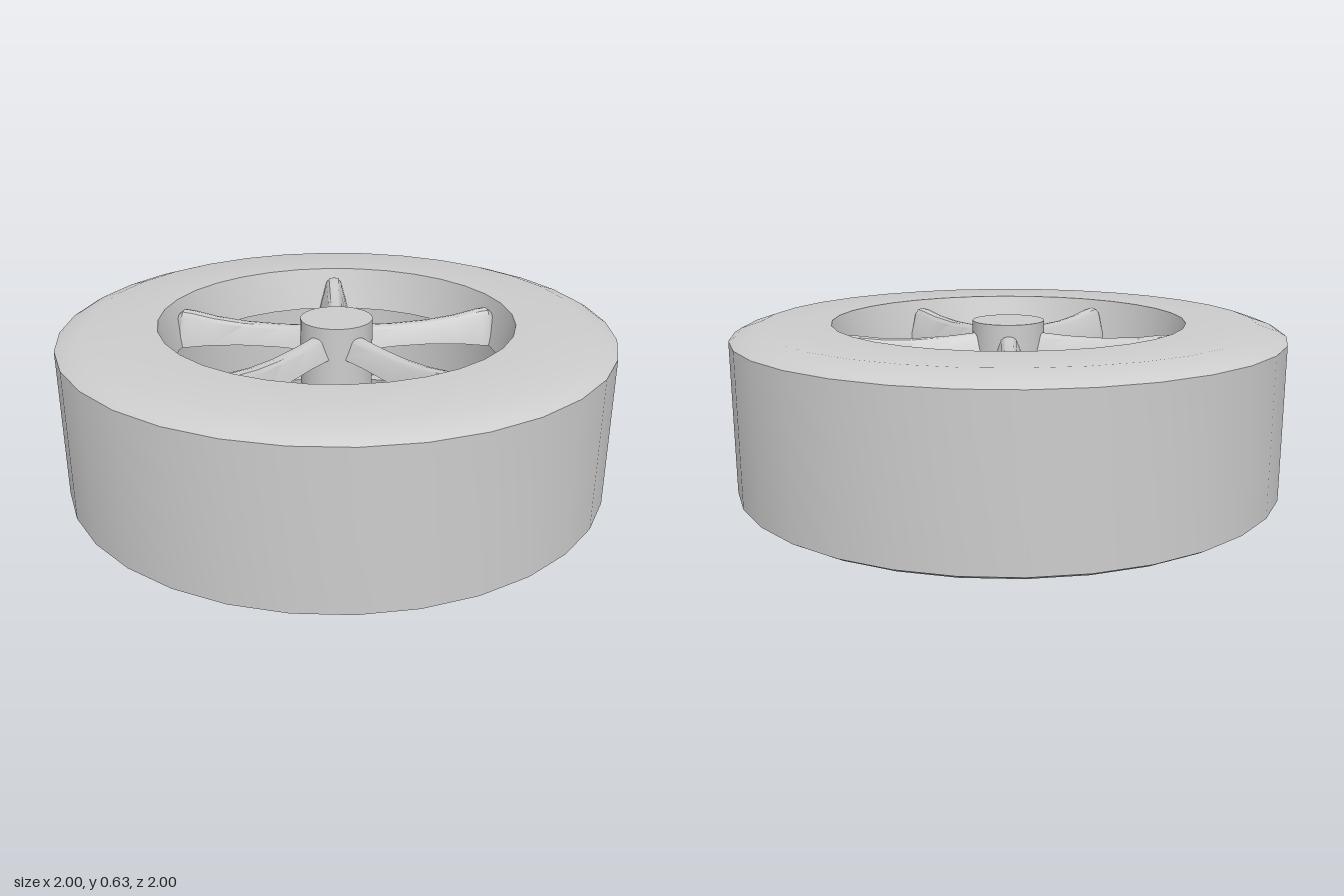
import * as THREE from 'three';
import { toCreasedNormals } from 'three/addons/utils/BufferGeometryUtils.js';

const SIDES = 32;
const CREASE = 0.5;

// Spoke along +x: a tapered section swept through stations [x, bottom, top, halfWidth]
function spokeGeometry() {
  const stations = [
    [0.08, 0.51, 0.59, 0.052], [0.22, 0.508, 0.58, 0.05], [0.36, 0.5, 0.578, 0.05],
    [0.48, 0.487, 0.586, 0.054], [0.57, 0.472, 0.6, 0.06], [0.605, 0.467, 0.602, 0.06],
    [0.625, 0.465, 0.585, 0.045],
  ];
  const section = [[1, 0], [0.96, 0.32], [0.84, 0.52], [0, 1], [0, -1], [0.84, -0.52], [0.96, -0.32]];
  const n = section.length;
  const positions = [];
  const index = [];
  for (const [x, y0, y1, w] of stations) {
    for (const [v, u] of section) positions.push(x, y0 + (y1 - y0) * v, u * w);
  }
  for (let i = 0; i < stations.length - 1; i++) {
    for (let j = 0; j < n; j++) {
      const a = i * n + j;
      const b = i * n + (j + 1) % n;
      index.push(a, b, a + n, b, b + n, a + n);
    }
  }
  // end caps
  const last = (stations.length - 1) * n;
  for (let j = 1; j < n - 1; j++) {
    index.push(0, j + 1, j, last, last + j, last + j + 1);
  }
  const geometry = new THREE.BufferGeometry();
  geometry.setAttribute('position', new THREE.Float32BufferAttribute(positions, 3));
  geometry.setIndex(index);
  return toCreasedNormals(geometry, CREASE);
}

export function createModel() {
  const group = new THREE.Group();
  const grey = new THREE.MeshStandardMaterial({ color: 0xcccccc });
  grey.name = 'light grey';

  const add = (name, geometry) => {
    const mesh = new THREE.Mesh(geometry, grey);
    mesh.name = name;
    group.add(mesh);
    return mesh;
  };

  // Tyre: chamfered tread outside, flared lips and a shallow channel inside
  const profile = [
    [0.9, 0], [0.975, 0.025], [1, 0.04], [1, 0.59], [0.975, 0.605], [0.9, 0.63],
    [0.645, 0.63], [0.6, 0.47], [0.64, 0.465],
    [0.64, 0.155], [0.6, 0.15], [0.635, 0], [0.9, 0],
  ].map(([r, y]) => new THREE.Vector2(r, y));
  add('tyre', toCreasedNormals(new THREE.LatheGeometry(profile, SIDES), CREASE));

  // Hub
  const hub = add('hub', new THREE.CylinderGeometry(0.132, 0.132, 0.585, SIDES));
  hub.position.y = 0.335;

  // Five spokes
  const spoke = spokeGeometry();
  for (let i = 0; i < 5; i++) {
    add('spoke', spoke).rotation.y = (i * Math.PI * 2) / 5;
  }
  return group;
}
